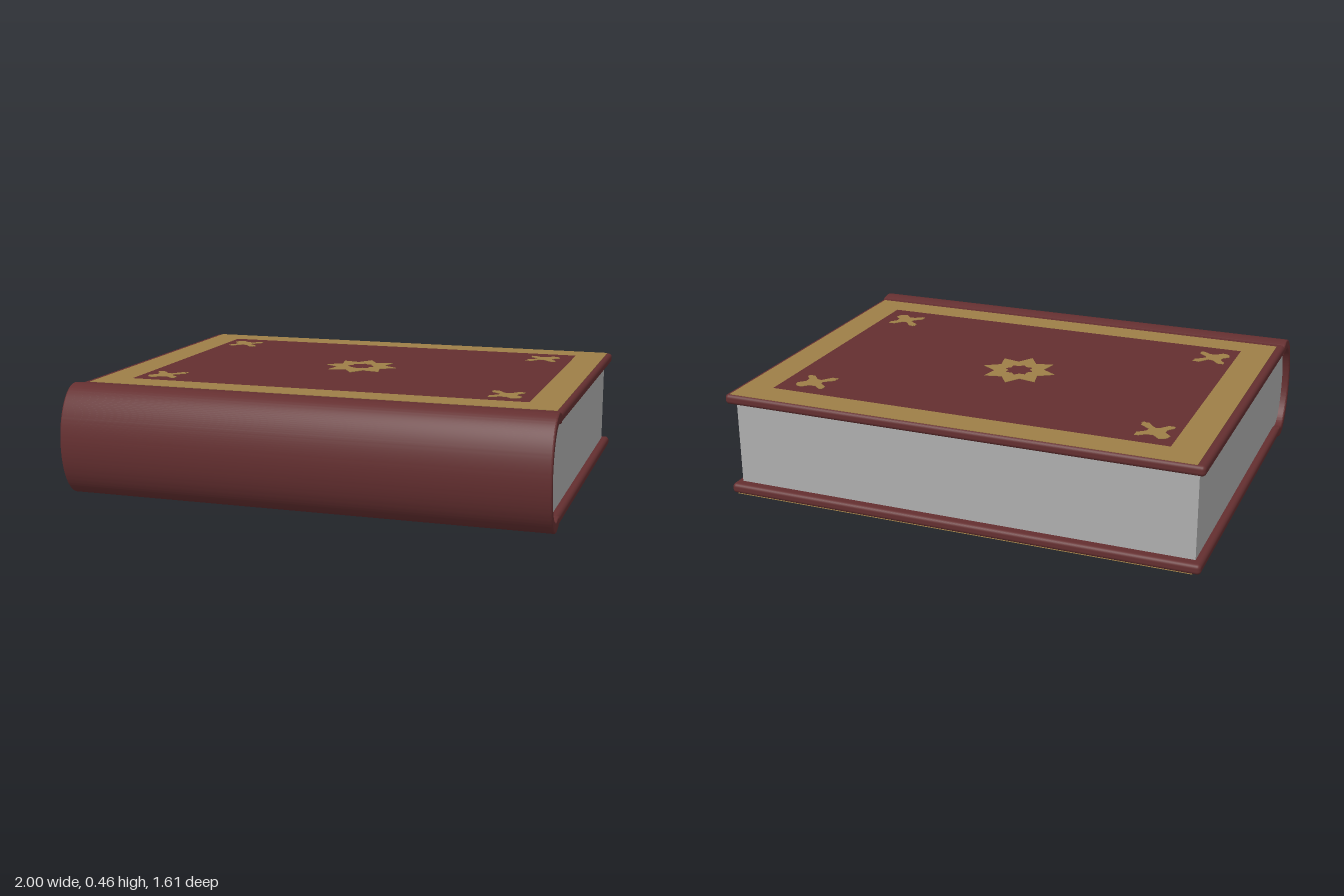
import * as THREE from 'three';
import { toCreasedNormals } from 'three/addons/utils/BufferGeometryUtils.js';
import { RoundedBoxGeometry } from 'three/addons/geometries/RoundedBoxGeometry.js';

const material = (name, color) => {
  const m = new THREE.MeshStandardMaterial({ color });
  m.name = name;
  return m;
};

// Extrudes a (z, y) profile along x, centred, with optional bevelled ends
function alongX(shape, length, bevel = 0) {
  const depth = length - 2 * bevel;
  const geo = new THREE.ExtrudeGeometry(shape, {
    depth, curveSegments: 40, bevelEnabled: bevel > 0,
    bevelSize: bevel, bevelOffset: -bevel, bevelThickness: bevel, bevelSegments: 3,
  });
  geo.translate(0, 0, -depth / 2).rotateY(-Math.PI / 2);
  return toCreasedNormals(geo, 0.6);
}

// Thin plate from an (x, z) outline, facing up (side 1) or down (side -1)
function plate(outline, hole, side, y) {
  const toShape = ([x, z]) => new THREE.Vector2(x, -side * z);
  const shape = new THREE.Shape(outline.map(toShape));
  if (hole) shape.holes.push(new THREE.Path(hole.map(toShape)));
  const geo = new THREE.ExtrudeGeometry(shape, { depth: 0.002, bevelEnabled: false });
  return geo.rotateX(-side * Math.PI / 2).translate(0, y, 0);
}

const rect = (x0, x1, z0, z1) => [[x0, z0], [x1, z0], [x1, z1], [x0, z1]];

function star(cx, cz, outer, inner) {
  return Array.from({ length: 16 }, (_, i) => {
    const a = i * Math.PI / 8, r = i % 2 ? inner : outer;
    return [cx + r * Math.cos(a), cz + r * Math.sin(a)];
  });
}

// Four-lobed flower, symmetric about its diagonal, long petal towards (+, +)
function flower(cx, cz, sx, sz) {
  const half = [[14, 12], [8, 13], [2, 5], [-2, 6], [-7, 12], [-12, 12],
    [-12, 9], [-8, 4], [-8, -1], [-13, -6], [-12, -10]];
  const all = [...half, ...half.map(([a, b]) => [b, a]).reverse()];
  return all.map(([a, b]) => [cx + sx * a * 0.0053, cz + sz * b * 0.0053]);
}

export function createModel() {
  const book = new THREE.Group();
  book.name = 'book';
  const leather = material('maroon leather', 0x642f30);
  const gold = material('old gold', 0x9d7f47);
  const paper = material('grey paper', 0xaeaeae);
  const add = (name, geo, mat, parent = book) => {
    const mesh = new THREE.Mesh(geo, mat);
    mesh.name = name;
    parent.add(mesh);
    return mesh;
  };

  const midY = 0.2325;

  // Page block with a rounded bound edge
  const block = new THREE.Shape();
  block.moveTo(-0.763, 0.05);
  block.lineTo(0.627, 0.05);
  block.lineTo(0.668, midY - 0.187);
  block.absellipse(0.668, midY, 0.113, 0.187, -Math.PI / 2, Math.PI / 2, false);
  block.lineTo(0.627, 0.415);
  block.lineTo(-0.763, 0.415);
  block.closePath();
  add('pages', alongX(block, 1.94), paper);

  // Rounded spine with small hinge lips
  const spine = new THREE.Shape();
  spine.moveTo(0.615, 0.019);
  spine.quadraticCurveTo(0.635, 0.004, 0.668, midY - 0.2305);
  spine.absellipse(0.668, midY, 0.137, 0.2305, -Math.PI / 2, Math.PI / 2, false);
  spine.quadraticCurveTo(0.635, 0.461, 0.615, 0.446);
  spine.lineTo(0.615, 0.411);
  spine.quadraticCurveTo(0.64, 0.411, 0.668, midY + 0.186);
  spine.absellipse(0.668, midY, 0.112, 0.186, Math.PI / 2, -Math.PI / 2, true);
  spine.quadraticCurveTo(0.64, 0.054, 0.615, 0.054);
  spine.closePath();
  add('spine', alongX(spine, 2, 0.006), leather);

  // Covers and their gold decoration, above and below
  for (const side of [1, -1]) {
    const cover = new THREE.Group();
    cover.name = side > 0 ? 'topCover' : 'bottomCover';
    book.add(cover);
    const board = new RoundedBoxGeometry(2, 0.0425, 1.445, 4, 0.016);
    board.translate(0, midY + side * 0.1985, -0.0825);
    add('board', board, leather, cover);

    const y = midY + side * 0.2198;
    add('border', plate(rect(-0.968, 0.978, -0.796, 0.594),
      rect(-0.834, 0.85, -0.672, 0.473), side, y), gold, cover);
    add('centreStar', plate(star(-0.01, -0.105, 0.16, 0.105),
      star(-0.01, -0.105, 0.062, 0.046), side, y), gold, cover);
    for (const [x, z] of [[-0.737, -0.545], [0.723, -0.545], [-0.737, 0.345], [0.735, 0.345]]) {
      add('cornerFlower', plate(flower(x, z, -Math.sign(x), -Math.sign(z)), null, side, y), gold, cover);
    }
  }
  return book;
}
